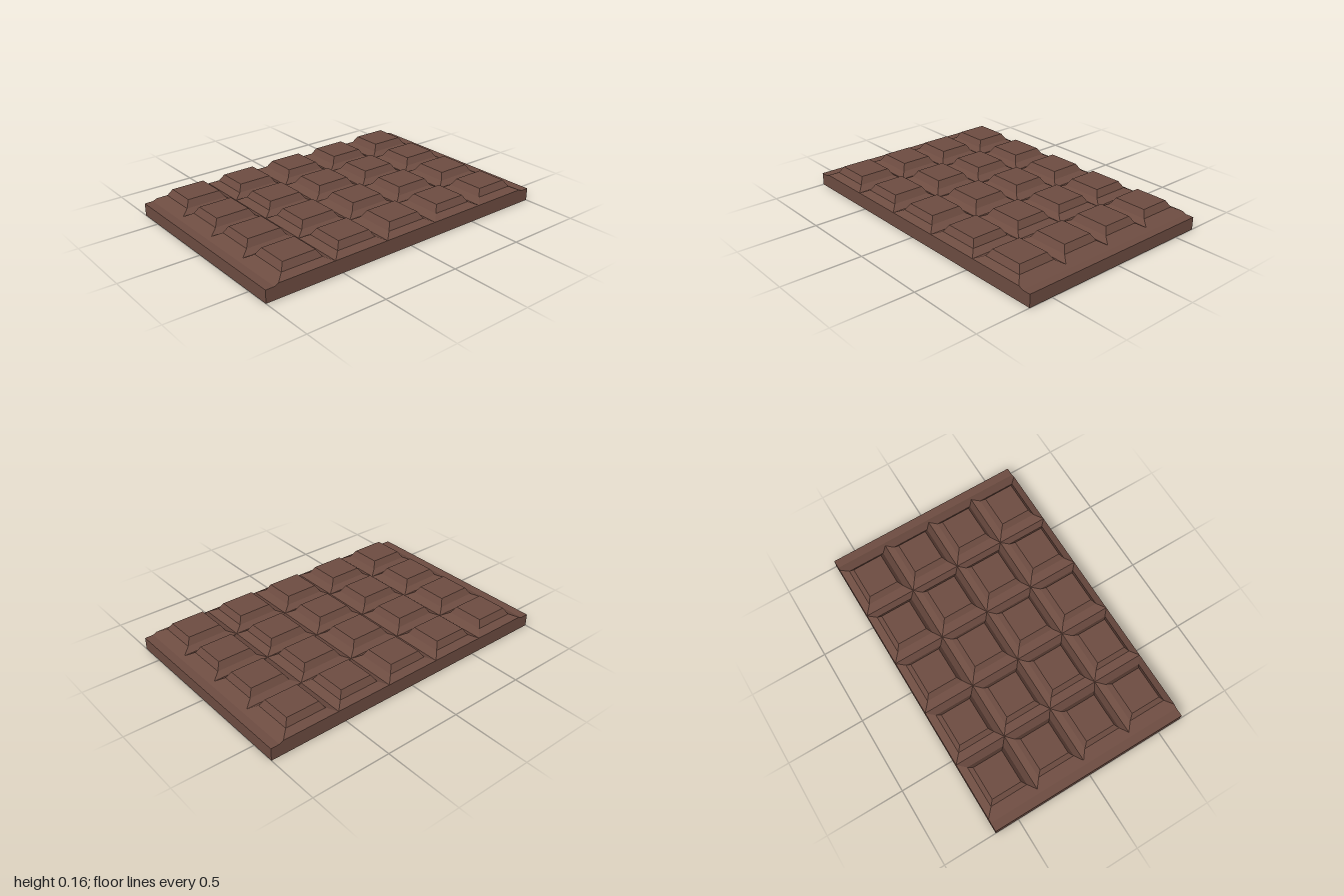
import * as THREE from 'three';

// Lofts flat-shaded faces through rectangles [x0, x1, z0, z1, y], bottom to top, capped on top
function loftRectangles(rects) {
  const rings = rects.map(([x0, x1, z0, z1, y]) => [[x0, y, z1], [x1, y, z1], [x1, y, z0], [x0, y, z0]]);
  const pos = [];
  const quad = (a, b, c, d) => pos.push(...a, ...b, ...c, ...a, ...c, ...d);
  for (let r = 0; r < rings.length - 1; r++) {
    const low = rings[r], high = rings[r + 1];
    for (let i = 0; i < 4; i++) {
      const j = (i + 1) % 4;
      quad(low[i], low[j], high[j], high[i]);
    }
  }
  quad(...rings[rings.length - 1]);
  const geometry = new THREE.BufferGeometry();
  geometry.setAttribute('position', new THREE.Float32BufferAttribute(pos, 3));
  geometry.computeVertexNormals();
  return geometry;
}

export function createModel() {
  const group = new THREE.Group();
  group.name = 'chocolateBar';
  const chocolate = new THREE.MeshStandardMaterial({ color: 0x6d4c41, flatShading: true });

  const width = 1.31;
  const grooveY = 0.092, shoulderY = 0.115, topY = 0.157;

  // Slab: side profile with a flat lip at both ends, extruded across the width
  const profile = new THREE.Shape([
    [-1, 0], [1, 0], [1, 0.08], [0.945, 0.08], [0.92, grooveY],
    [-0.92, grooveY], [-0.945, 0.08], [-1, 0.08],
  ].map(([x, y]) => new THREE.Vector2(x, y)));
  const slabGeometry = new THREE.ExtrudeGeometry(profile, { depth: width, bevelEnabled: false });
  slabGeometry.translate(0, 0, -width / 2).rotateY(Math.PI / 2);
  const slab = new THREE.Mesh(slabGeometry, chocolate);
  slab.name = 'slab';
  group.add(slab);

  // Pieces: 4 x 5 stepped blocks that meet along the grooves
  const xGrooves = [-width / 2, -0.323, 0, 0.323, width / 2];
  const xCentres = [-0.485, -0.161, 0.161, 0.485];
  const zPitch = 0.368;
  const pieces = new THREE.Group();
  pieces.name = 'pieces';
  for (let row = 0; row < 5; row++) {
    const z = (row - 2) * zPitch;
    for (let col = 0; col < 4; col++) {
      const x = xCentres[col];
      const level = (hx, hz, y) => [x - hx, x + hx, z - hz, z + hz, y];
      const piece = new THREE.Mesh(loftRectangles([
        [xGrooves[col], xGrooves[col + 1], z - zPitch / 2, z + zPitch / 2, grooveY],
        level(0.122, 0.133, shoulderY),
        level(0.097, 0.107, topY),
      ]), chocolate);
      piece.name = `piece_${row + 1}_${col + 1}`;
      pieces.add(piece);
    }
  }
  group.add(pieces);
  return group;
}
